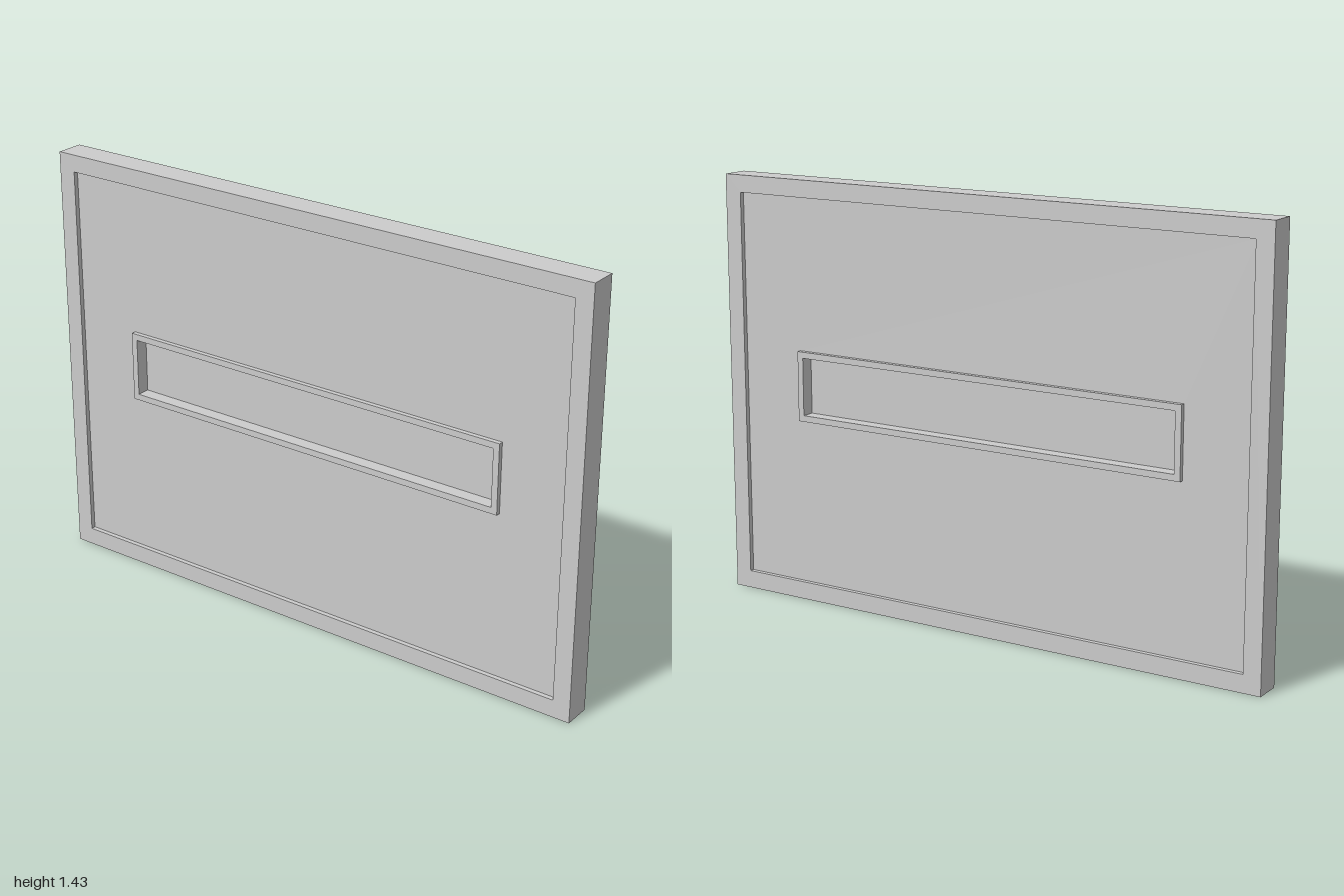
import * as THREE from 'three';

const material = new THREE.MeshStandardMaterial({ color: 0xcccccc, flatShading: true });

// Traces a rectangle [half length along z, bottom y, top y]
function trace(path, [half, bottom, top]) {
  path.moveTo(-half, bottom);
  path.lineTo(half, bottom);
  path.lineTo(half, top);
  path.lineTo(-half, top);
  path.closePath();
  return path;
}

// Upright slab with an optional window, centred on x = 0
function slab(name, thickness, outer, inner) {
  const shape = trace(new THREE.Shape(), outer);
  if (inner) shape.holes.push(trace(new THREE.Path(), inner));
  const geometry = new THREE.ExtrudeGeometry(shape, { depth: thickness, bevelEnabled: false });
  geometry.translate(0, 0, -thickness / 2);
  geometry.rotateY(Math.PI / 2);
  const mesh = new THREE.Mesh(geometry, material);
  mesh.name = name;
  return mesh;
}

export function createModel() {
  const group = new THREE.Group();
  group.name = 'doorPanel';

  const thickness = 0.095;
  const panelThickness = 0.063;
  const border = [1, 0, 1.43];
  const field = [0.94, 0.06, 1.372];
  const trim = [0.715, 0.622, 0.859];
  const slot = [0.694, 0.643, 0.838];

  group.add(
    slab('outerFrame', thickness, border, field),
    // Recessed field on both sides
    slab('recessedPanel', panelThickness, field, trim),
    // Raised rim around the slot, flush with the outer frame
    slab('slotTrim', thickness, trim, slot),
    // Thin sheet closing the slot at mid thickness
    slab('slotPane', 0.005, slot)
  );
  return group;
}
